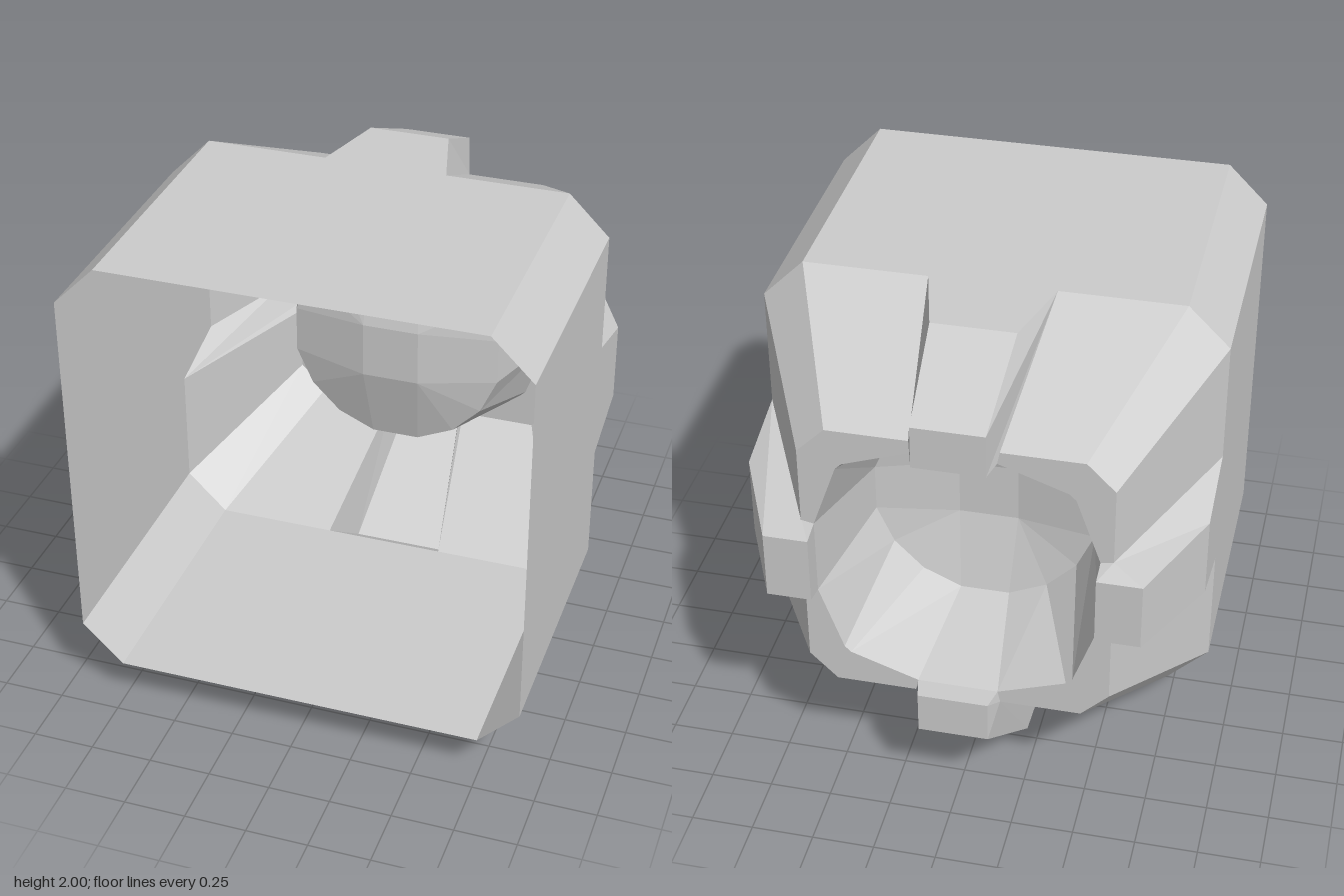
import * as THREE from 'three';

const CENTRE_Y = 1.09;
const Z = { front: 0.93, shoulder: -0.2, rim: -0.84, tip: -0.93, throat: -0.36, dish: -0.28 };
const material = new THREE.MeshStandardMaterial({ color: 0xcccccc, flatShading: true, side: THREE.DoubleSide });

// Flat-faced mesh from polygons, each split as a fan from its first corner.
// Points are [across, outward, z]; "halves" are also mirrored across x.
function facetMesh(name, halves, corners = []) {
  const pos = [];
  const add = (poly) => {
    for (let i = 1; i < poly.length - 1; i++) pos.push(...poly[0], ...poly[i], ...poly[i + 1]);
  };
  for (const poly of halves) {
    add(poly);
    add(poly.map(([x, y, z]) => [-x, y, z]).reverse());
  }
  corners.forEach(add);
  const geo = new THREE.BufferGeometry();
  geo.setAttribute('position', new THREE.Float32BufferAttribute(pos, 3));
  geo.computeVertexNormals();
  const mesh = new THREE.Mesh(geo, material);
  mesh.name = name;
  return mesh;
}

// Four-sided face joining edge a-b at depth z0 to edge c-d at depth z1
const band = (a, b, z0, c, d, z1) => [[...a, z0], [...b, z0], [...d, z1], [...c, z1]];
const flip = ([x, y]) => [y, x];

// Outline points of one side, measured from the axis
const wall = [0.745, 0.91], taperEnd = [0.49, 0.6];
const finRoot = [0.25, 0.91], finFoot = [0.17, 0.6];
const ringA = [0.16, 0.55], ringB = [0.43, 0.455];
const throatA = [0.1, 0.445], throatB = [0.255, 0.375];
const hub = [0.12, 0.12];

// Open box body with chamfered corners
function body() {
  return facetMesh('bodyWall',
    [band([0, 0.91], wall, Z.front, [0, 0.91], wall, Z.shoulder)],
    [band(wall, flip(wall), Z.front, wall, flip(wall), Z.shoulder)]);
}

// Tapered shoulder, left open beneath the fin
function taper() {
  return facetMesh('taperedShoulder',
    [band(finRoot, wall, Z.shoulder, finFoot, taperEnd, Z.rim)],
    [band(wall, flip(wall), Z.shoulder, taperEnd, flip(taperEnd), Z.rim)]);
}

// Flat rear rim around the recess
function rim() {
  return facetMesh('rearRim',
    [band(finFoot, taperEnd, Z.rim, ringA, ringB, Z.rim)],
    [band(taperEnd, flip(taperEnd), Z.rim, ringB, flip(ringB), Z.rim)]);
}

// Recess wall narrowing towards the dish
function recess() {
  return facetMesh('recessWall',
    [band([0, 0.55], ringA, Z.rim, [0, 0.445], throatA, Z.throat),
      band(ringA, ringB, Z.rim, throatA, throatB, Z.throat)],
    [band(ringB, flip(ringB), Z.rim, throatB, flip(throatB), Z.throat)]);
}

// Shallow dish closing the recess
function dish() {
  const h = [...hub, Z.dish], a = [...throatA, Z.throat], b = [...throatB, Z.throat];
  return facetMesh('dish',
    [band([0, 0.445], throatA, Z.throat, [0, 0.12], hub, Z.dish),
      [a, b, h],
      [[0, 0.12, Z.dish], h, [0, 0, Z.dish]]],
    [[b, [...flip(throatB), Z.throat], h]]);
}

// Hollow fin running back from the shoulder; ridge = [halfWidth, outward, z]
function fin(name, ridge) {
  const profile = [
    [...finRoot, Z.shoulder], ridge, [0.14, 0.725, Z.tip], [0.14, 0.55, Z.tip], [...ringA, Z.rim],
  ];
  const faces = [[[...finFoot, Z.rim], ...profile.slice().reverse()]];
  for (let i = 0; i < profile.length - 1; i++) {
    const p = profile[i], q = profile[i + 1];
    faces.push([[0, p[1], p[2]], p, q, [0, q[1], q[2]]]);
  }
  return facetMesh(name, faces);
}

export function createModel() {
  const model = new THREE.Group();
  model.name = 'hollowHousing';
  const sides = ['top', 'right', 'bottom', 'left'];
  sides.forEach((side, i) => {
    const quarter = new THREE.Group();
    quarter.name = side + 'Side';
    quarter.rotation.z = (i * Math.PI) / 2;
    quarter.position.y = CENTRE_Y;
    // The bottom fin is deeper and serves as the foot
    const ridge = side === 'bottom' ? [0.2, 1.09, -0.45] : [0.165, 0.91, -0.52];
    quarter.add(body(), taper(), rim(), recess(), dish(), fin(side + 'Fin', ridge));
    model.add(quarter);
  });
  return model;
}
